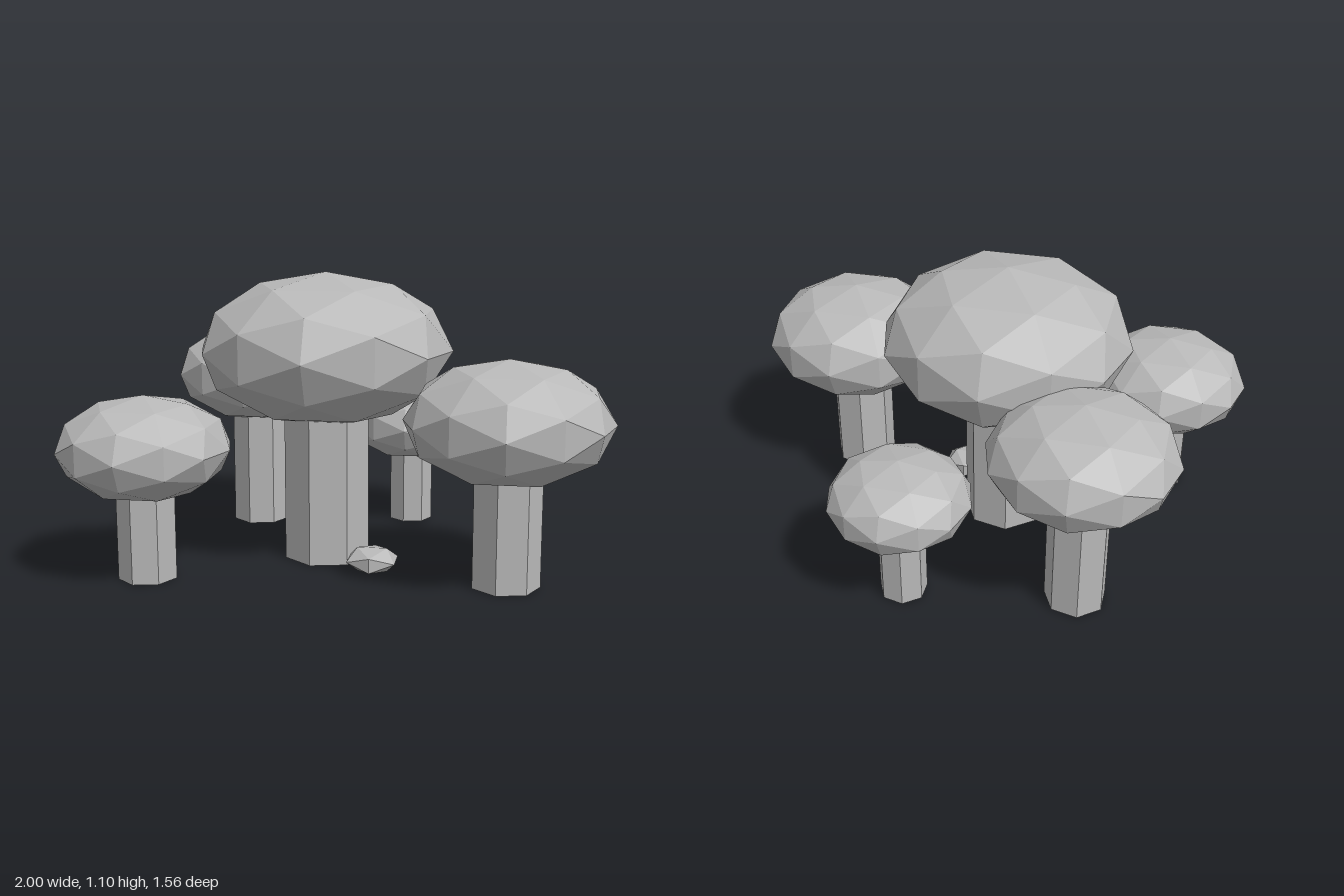
import * as THREE from 'three';

export function createModel() {
  const model = new THREE.Group();
  model.name = 'mushroomCluster';

  const stone = new THREE.MeshStandardMaterial({ color: 0xb8b8b8, flatShading: true });
  stone.name = 'stone grey';

  // Faceted, flattened ball
  function flatBall(name, radius, squash, detail) {
    const geometry = new THREE.IcosahedronGeometry(radius, detail);
    geometry.scale(1, squash, 1);
    const mesh = new THREE.Mesh(geometry, stone);
    mesh.name = name;
    return mesh;
  }

  // Seven-sided stem, one corner facing +x, rising to the middle of the cap
  function addMushroom(name, x, z, capHeight, capRadius) {
    const mushroom = new THREE.Group();
    mushroom.name = name;
    mushroom.position.set(x, 0, z);

    const stemRadius = capRadius * 0.34;
    const stem = new THREE.Mesh(
      new THREE.CylinderGeometry(stemRadius, stemRadius, capHeight, 7, 1, false, Math.PI / 2),
      stone
    );
    stem.name = 'stem';
    stem.position.y = capHeight / 2;

    const cap = flatBall('cap', capRadius, 0.6, 1);
    cap.position.y = capHeight;

    mushroom.add(stem, cap);
    model.add(mushroom);
  }

  // name, x, z, cap centre height, cap radius
  const mushrooms = [
    ['centreMushroom', -0.08, 0.08, 0.813, 0.485],
    ['frontLeftMushroom', 0.62, 0.345, 0.598, 0.375],
    ['frontRightMushroom', -0.68, 0.455, 0.487, 0.32],
    ['backRightMushroom', -0.46, -0.41, 0.65, 0.35],
    ['backLeftMushroom', 0.185, -0.515, 0.433, 0.27],
  ];
  mushrooms.forEach((m) => addMushroom(...m));

  // Small pebble beside the centre stem
  const pebble = flatBall('pebble', 0.105, 0.5, 0);
  pebble.position.set(0.13, 0.055, 0.29);
  model.add(pebble);

  return model;
}
